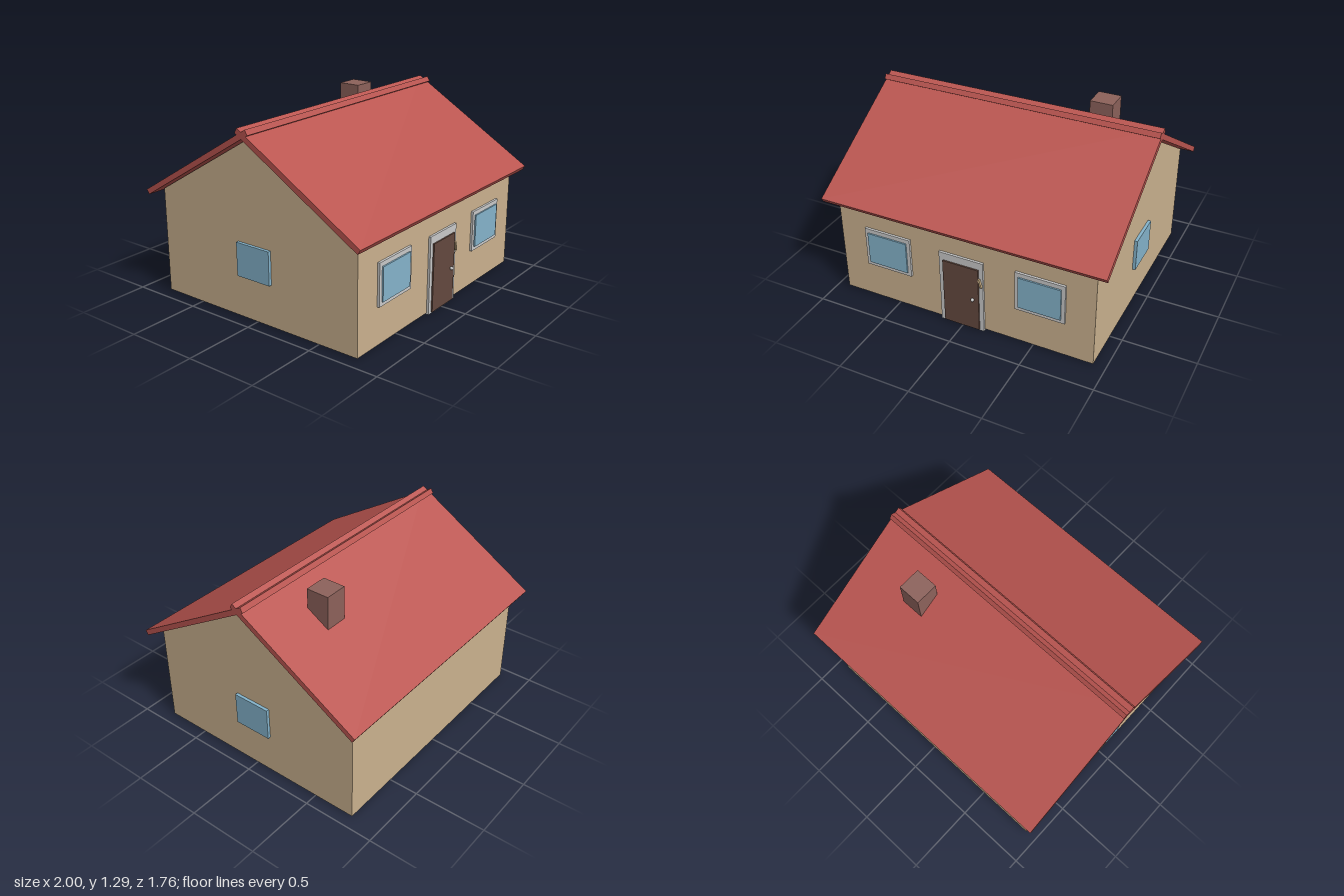
import * as THREE from 'three';

const mat = (name, color) => {
  const m = new THREE.MeshStandardMaterial({ color });
  m.name = name;
  return m;
};

export function createModel() {
  const house = new THREE.Group();
  house.name = 'house';

  const wall = mat('sand wall', 0xcbb28f);
  const roof = mat('red roof', 0xba5550);
  const brick = mat('brown brick', 0x8d625b);
  const glass = mat('blue glass', 0x85b4cc);
  const trim = mat('light grey trim', 0xcacaca);
  const wood = mat('dark wood', 0x64493f);
  const metal = mat('silver metal', 0xc0c0c0);
  const brass = mat('pale brass', 0xc9ae84);

  const add = (name, geometry, material) => {
    const mesh = new THREE.Mesh(geometry, material);
    mesh.name = name;
    house.add(mesh);
    return mesh;
  };
  // Box given by its lower and upper corners
  const box = (name, material, [x0, y0, z0], [x1, y1, z1]) => {
    const mesh = add(name, new THREE.BoxGeometry(x1 - x0, y1 - y0, z1 - z0), material);
    mesh.position.set((x0 + x1) / 2, (y0 + y1) / 2, (z0 + z1) / 2);
    return mesh;
  };
  // Profile in (z, y), extruded along x and centred
  const prism = (name, points, length, material) => {
    const shape = new THREE.Shape(points.map(([z, y]) => new THREE.Vector2(-z, y)));
    const geometry = new THREE.ExtrudeGeometry(shape, { depth: length, bevelEnabled: false });
    geometry.translate(0, 0, -length / 2).rotateY(Math.PI / 2);
    return add(name, geometry, material);
  };

  // Gabled walls
  prism('walls', [[-0.8, 0.01], [0.8, 0.01], [0.8, 0.745], [0, 1.225], [-0.8, 0.745]], 1.834, wall);

  // Two roof slabs crossing at the ridge
  for (const s of [1, -1]) {
    prism(s > 0 ? 'frontRoof' : 'backRoof',
      [[0.859, 0.713], [0.878, 0.744], [-0.033, 1.295], [-0.052, 1.262]].map(([z, y]) => [z * s, y]),
      2, roof);
  }

  // Chimney on the back slope
  box('chimney', brick, [0.435, 1.03, -0.36], [0.595, 1.29, -0.2]);

  // Front and side windows on both sides
  for (const s of [1, -1]) {
    const side = s > 0 ? 'left' : 'right';
    const x = 0.55 * s;
    box(side + 'WindowFrame', trim, [x - 0.171, 0.27, 0.79], [x + 0.171, 0.558, 0.816]);
    box(side + 'WindowPane', glass, [x - 0.146, 0.298, 0.8], [x + 0.146, 0.528, 0.826]);
    const gable = box(side + 'GableWindow', glass, [-0.02, 0.298, -0.135], [0.02, 0.528, 0.135]);
    gable.position.x = 0.918 * s;
  }

  // Door with its frame
  box('doorFrame', trim, [-0.16, 0, 0.79], [0.156, 0.544, 0.816]);
  box('door', wood, [-0.13, 0.01, 0.8], [0.126, 0.49, 0.826]);

  // Round knob and slanted handle
  const knob = add('doorKnob', new THREE.SphereGeometry(0.012, 16, 12), metal);
  knob.position.set(0.085, 0.25, 0.834);
  const handle = box('slantedHandle', brass, [0.133, 0.36, 0.812], [0.145, 0.424, 0.832]);
  handle.rotation.z = 0.26;

  return house;
}
